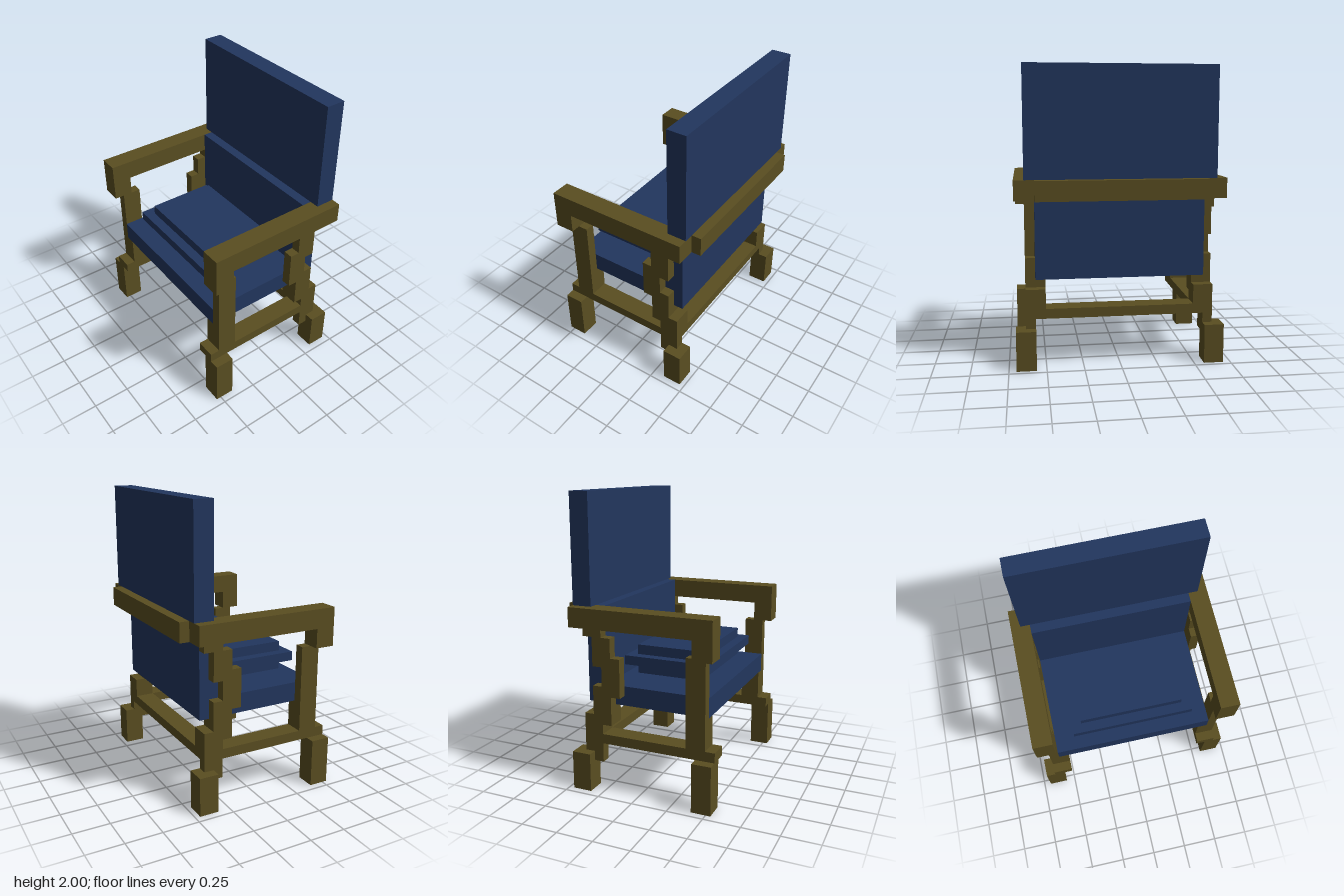
import * as THREE from 'three';

const U = 1 / 15; // grid unit

export function createModel() {
  const chair = new THREE.Group();
  chair.name = 'armchair';
  const wood = new THREE.MeshStandardMaterial({ color: 0x5a4e21 });
  wood.name = 'olive wood';
  const fabric = new THREE.MeshStandardMaterial({ color: 0x22365e });
  fabric.name = 'navy fabric';

  // box from min/max grid coordinates
  function block(name, mat, [x0, x1], [y0, y1], [z0, z1]) {
    const geo = new THREE.BoxGeometry((x1 - x0) * U, (y1 - y0) * U, (z1 - z0) * U);
    const mesh = new THREE.Mesh(geo, mat);
    mesh.position.set((x0 + x1) * U / 2, (y0 + y1) * U / 2, (z0 + z1) * U / 2);
    mesh.name = name;
    chair.add(mesh);
  }

  // same box on both sides
  function pair(name, [x0, x1], y, z) {
    block('left' + name, wood, [x0, x1], y, z);
    block('right' + name, wood, [-x1, -x0], y, z);
  }

  // upholstery
  block('headPanel', fabric, [-9.5, 9.5], [19, 30], [-7, -5]);
  block('lowerBack', fabric, [-8.5, 8.5], [9, 19], [-6, -4]);
  block('seat', fabric, [-8.5, 8.5], [9, 11], [-4, 7]);

  // loose cushion in three layers, slightly off centre
  block('cushionBottom', fabric, [-5.37, 5.63], [11.55, 12.6], [-2, 5]);
  block('cushionMiddle', fabric, [-6.37, 6.63], [12.6, 13.55], [-3, 6]);
  block('cushionTop', fabric, [-5.37, 5.63], [13.55, 14.55], [-2, 5]);

  // arms with a drop at the front
  pair('Arm', [8.5, 10.5], [17, 19], [-7, 8]);
  pair('ArmDrop', [8.5, 10.5], [15, 17], [6, 8]);
  block('backRail', wood, [-8.5, 8.5], [17, 19], [-8, -6]);

  // front legs
  pair('FrontFoot', [8.5, 10.5], [0, 5], [6, 8]);
  pair('FrontPostLower', [7.5, 9.5], [6, 9], [5, 7]);
  pair('FrontPostUpper', [8.5, 9.5], [9, 15], [5, 7]);

  // stretchers
  pair('SideStretcher', [7.5, 9.5], [5, 6], [-6, 8]);
  block('rearStretcher', wood, [-7.5, 7.5], [5, 6], [-6, -4]);

  // stepped, bowed rear legs: [x0, x1, y0, y1, z0, z1]
  const steps = [
    [8.5, 10.5, 0, 4, -7, -5],
    [8.5, 9.5, 3, 5, -6, -4],
    [7.5, 9.5, 6, 8, -6, -4],
    [7.5, 9.5, 7, 9, -5, -3],
    [8.5, 9.5, 9, 11, -5, -3],
    [8.5, 9.5, 10, 14, -4, -2],
    [8.5, 9.5, 13, 16, -5, -3],
    [8.5, 9.5, 16, 17, -6, -4],
  ];
  steps.forEach(([x0, x1, y0, y1, z0, z1], i) =>
    pair('RearLegStep' + (i + 1), [x0, x1], [y0, y1], [z0, z1]));

  return chair;
}
